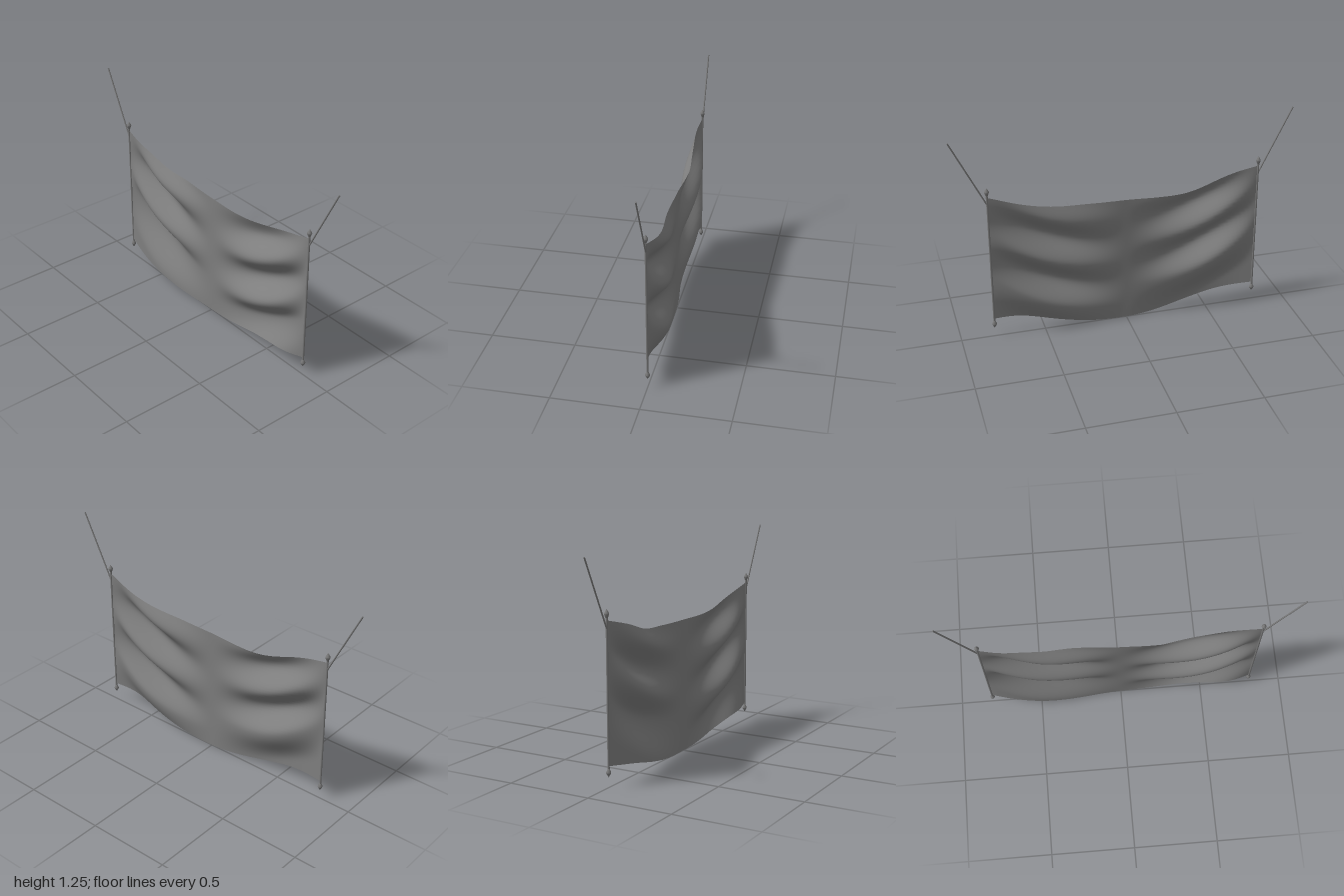
import * as THREE from 'three';

const HALF = 0.8; // pole distance from the centre

function edgeCurve(heights) {
  const step = (2 * HALF) / (heights.length - 1);
  return new THREE.SplineCurve(heights.map((y, i) => new THREE.Vector2(-HALF + i * step, y)));
}

// Depth of the curved folds on each half, strongest towards the poles
function foldDepth(x, y) {
  const t = Math.min(Math.abs(x) / HALF, 1);
  const centre = (x < 0 ? 0.735 : 0.61) + 0.45 * (x * x - 0.36);
  let phase = (y - centre) / 0.283;
  // Folds widen towards the bottom and top edges
  if (phase < -1.25) phase = Math.max(-1.25 + (phase + 1.25) * 0.6, -1.75);
  if (phase > 0.75) phase = 0.75 + (phase - 0.75) * 0.8;
  const fade = 1 - 0.5 * THREE.MathUtils.smoothstep(y, 0.68, 0.88);
  return 0.048 * fade * Math.sin(Math.PI * t ** 1.4) * Math.sin(2 * Math.PI * phase);
}

// Sagging cloth spanned between a top and a bottom edge curve
function makeCloth(material) {
  const top = edgeCurve([0.905, 0.855, 0.797, 0.786, 0.787, 0.788, 0.803, 0.845, 0.905]);
  const bottom = edgeCurve([0.12, 0.09, 0.047, 0.013, 0.002, 0.013, 0.05, 0.092, 0.12]);
  const geometry = new THREE.PlaneGeometry(1, 1, 72, 48);
  const pos = geometry.attributes.position;
  for (let i = 0; i < pos.count; i++) {
    const u = pos.getX(i) + 0.5;
    const v = pos.getY(i) + 0.5;
    const p = bottom.getPoint(u).lerp(top.getPoint(u), v);
    pos.setXYZ(i, p.x, p.y, foldDepth(p.x, p.y));
  }
  geometry.computeVertexNormals();
  const cloth = new THREE.Mesh(geometry, material);
  cloth.name = 'cloth';
  return cloth;
}

// Straight round bar between two points
function makeBar(name, from, to, radius, material) {
  const direction = to.clone().sub(from);
  const bar = new THREE.Mesh(new THREE.CylinderGeometry(radius, radius, direction.length(), 10), material);
  bar.position.copy(from).add(to).multiplyScalar(0.5);
  bar.quaternion.setFromUnitVectors(new THREE.Vector3(0, 1, 0), direction.normalize());
  bar.name = name;
  return bar;
}

// Pointed end piece of a pole
function makeFinial(name, x, y, flip, material) {
  const profile = [[0, -0.025], [0.006, -0.022], [0.014, -0.003], [0.013, 0.004], [0, 0.026]]
    .map(([r, h]) => new THREE.Vector2(r, h));
  const finial = new THREE.Mesh(new THREE.LatheGeometry(profile, 8), material);
  finial.position.set(x, y, 0);
  if (flip) finial.rotation.x = Math.PI;
  finial.name = name;
  return finial;
}

export function createModel() {
  const model = new THREE.Group();
  model.name = 'hangingBanner';
  const metal = new THREE.MeshStandardMaterial({ color: 0x777777 });
  const fabric = new THREE.MeshStandardMaterial({ color: 0x7e7e7e, side: THREE.DoubleSide });
  model.add(makeCloth(fabric));

  // Pole, finials and hanging cord on each side
  for (const [side, s] of [['left', 1], ['right', -1]]) {
    const x = s * (HALF + 0.002);
    model.add(
      makeBar(side + 'Pole', new THREE.Vector3(x, 0.085, 0), new THREE.Vector3(x, 0.94, 0), 0.006, metal),
      makeFinial(side + 'TopFinial', x, 0.94, false, metal),
      makeFinial(side + 'BottomFinial', x, 0.084, true, metal),
      makeBar(side + 'Cord', new THREE.Vector3(x, 0.86, 0), new THREE.Vector3(s * 0.997, 1.254, 0), 0.0045, metal),
    );
  }
  return model;
}
